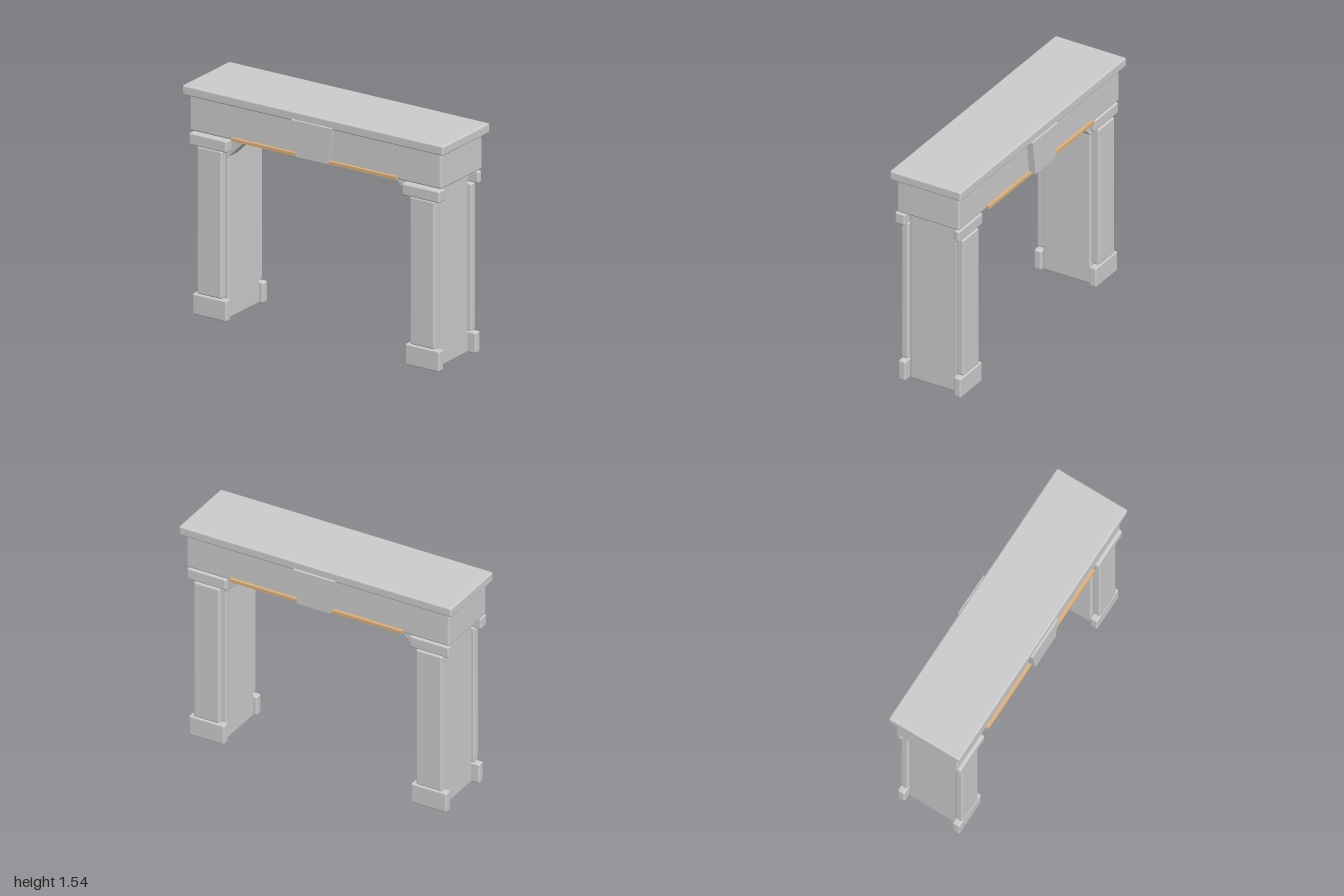
import * as THREE from 'three';
import { RoundedBoxGeometry } from 'three/addons/geometries/RoundedBoxGeometry.js';

const stone = new THREE.MeshStandardMaterial({ color: 0xcccccc });
const trim = new THREE.MeshStandardMaterial({ color: 0xdeb078 });

// Softly bevelled block given by its [min, max] extents on each axis
function block(name, [x0, x1], [y0, y1], [z0, z1], bevel = 0.012) {
  const geo = new RoundedBoxGeometry(x1 - x0, y1 - y0, z1 - z0, 2, bevel);
  const mesh = new THREE.Mesh(geo, stone);
  mesh.position.set((x0 + x1) / 2, (y0 + y1) / 2, (z0 + z1) / 2);
  mesh.name = name;
  return mesh;
}

// Flat outline extruded between z0 and z1
function prism(name, points, z0, z1) {
  const shape = new THREE.Shape(points.map(([x, y]) => new THREE.Vector2(x, y)));
  const geo = new THREE.ExtrudeGeometry(shape, { depth: z1 - z0, bevelEnabled: false });
  const mesh = new THREE.Mesh(geo, stone);
  mesh.position.z = z0;
  mesh.name = name;
  return mesh;
}

// Extents reflected to the given side
const span = (s, a, b) => (s > 0 ? [a, b] : [-b, -a]);

export function createModel() {
  const model = new THREE.Group();
  model.name = 'archway';

  // Top slab and lintel
  model.add(block('topSlab', [-1, 0.998], [1.478, 1.544], [-0.264, 0.264]));
  model.add(block('lintel', [-0.966, 0.962], [1.236, 1.49], [-0.232, 0.232], 0.014));

  for (const s of [1, -1]) {
    // Leg: core shaft with pilaster, base and capital on each face
    const leg = new THREE.Group();
    leg.name = s > 0 ? 'leftLeg' : 'rightLeg';
    leg.add(block('shaft', span(s, 0.704, 0.893), [0.003, 1.24], [-0.176, 0.176]));
    for (const f of [1, -1]) {
      const face = f > 0 ? 'front' : 'back';
      leg.add(block(face + 'Pilaster', span(s, 0.72, 0.91), [0.146, 1.142], span(f, 0.178, 0.232)));
      leg.add(block(face + 'Base', span(s, 0.684, 0.945), [0, 0.143], span(f, 0.178, 0.232)));
      const capDepth = f > 0 ? [0.176, 0.25] : [-0.23, -0.192];
      leg.add(block(face + 'Capital', span(s, 0.672, 0.959), [1.146, 1.228], capDepth));

      // Diagonal brace under the lintel
      const [z0, z1] = span(f, 0.07, 0.18);
      leg.add(prism(face + 'Brace',
        [[0.715, 1.085], [0.715, 1.245], [0.555, 1.245]].map(([x, y]) => [s * x, y]), z0, z1));
    }
    model.add(leg);

    // Tapered keystone on each face
    const face = s > 0 ? 'front' : 'back';
    const [k0, k1] = span(s, 0.2, 0.28);
    model.add(prism(face + 'Keystone',
      [[-0.12, 1.25], [0.12, 1.25], [0.153, 1.492], [-0.153, 1.492]], k0, k1));

    // Coloured trim strip along the lower edge of the lintel
    const strip = new THREE.Mesh(new THREE.BoxGeometry(1.26, 0.02, 0.03), trim);
    strip.position.set(0, 1.25, s * 0.238);
    strip.name = face + 'TrimStrip';
    model.add(strip);
  }
  return model;
}
